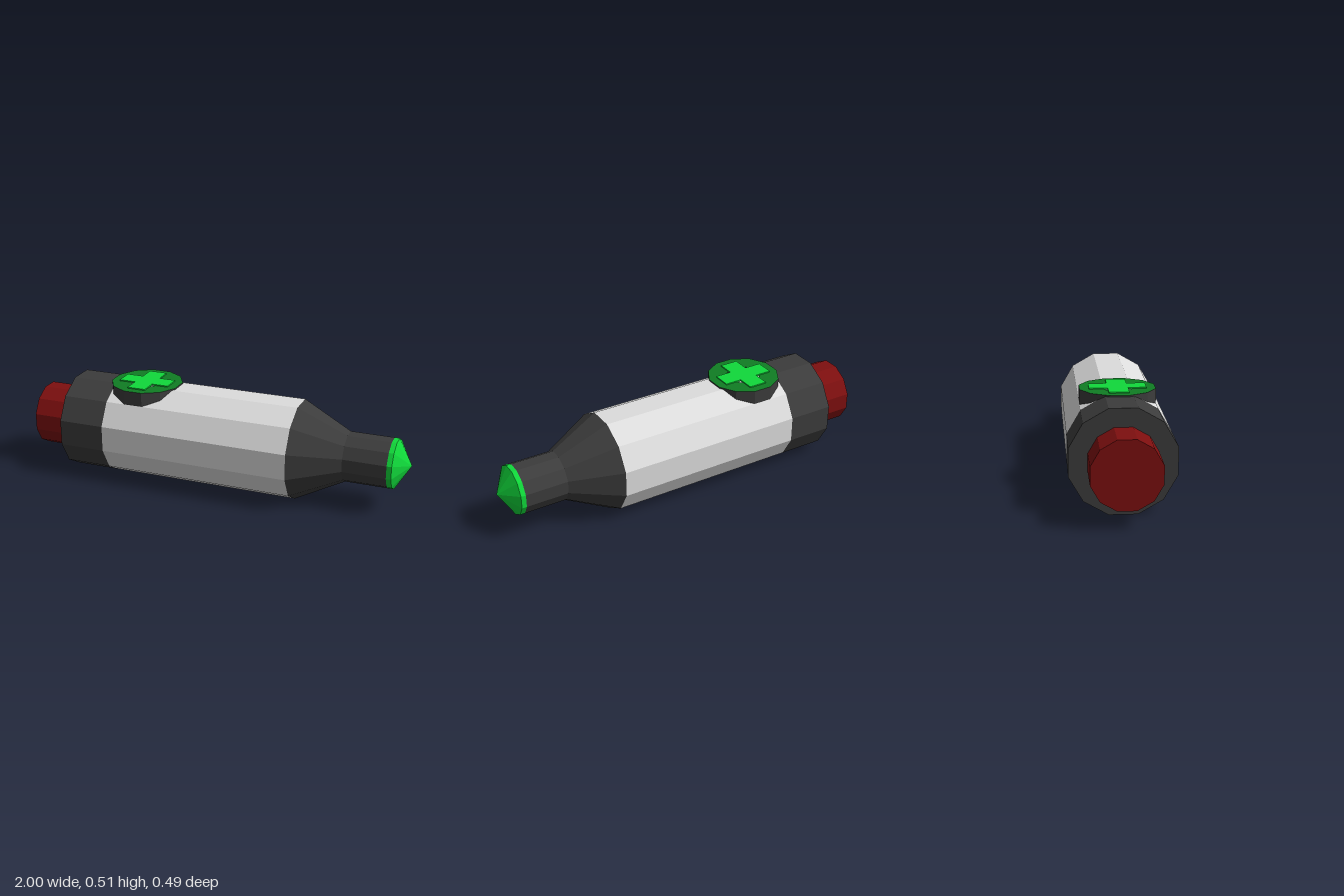
import * as THREE from 'three';

const SIDES = 12;
const AXIS_Y = 0.247;
const TO_CORNER = 1 / Math.cos(Math.PI / SIDES); // flat-to-flat radius -> corner radius

function material(name, color) {
  const m = new THREE.MeshStandardMaterial({ color, flatShading: true });
  m.name = name;
  return m;
}

export function createModel() {
  const black = material('charcoal', 0x3c3c3c);
  const white = material('light grey', 0xdddddd);
  const red = material('dark red', 0x7d0f0f);
  const green = material('bright green', 0x10d83a);
  const darkGreen = material('dark green', 0x107d24);

  const model = new THREE.Group();
  model.name = 'injector';

  function add(name, geometry, mat) {
    const mesh = new THREE.Mesh(geometry, mat);
    mesh.name = name;
    model.add(mesh);
    return mesh;
  }

  // Twelve-sided section along x, with a flat on top; radii are flat-to-centre
  function section(name, x0, x1, r0, r1, mat, open = true) {
    const g = new THREE.CylinderGeometry(
      r1 * TO_CORNER, r0 * TO_CORNER, x1 - x0, SIDES, 1, open, Math.PI / SIDES);
    g.rotateZ(-Math.PI / 2);
    g.translate((x0 + x1) / 2, AXIS_Y, 0);
    add(name, g, mat);
  }

  section('plunger', -1, -0.79, 0.16, 0.16, red, false);
  section('rearCollar', -0.8, -0.56, 0.247, 0.247, black, false);
  section('barrel', -0.56, 0.43, 0.247, 0.247, white);
  section('taper', 0.43, 0.68, 0.247, 0.123, black);
  section('nozzle', 0.68, 0.9, 0.123, 0.123, black);
  section('tipBand', 0.9, 0.925, 0.123, 0.123, green);
  section('tipCone', 0.925, 1, 0.123, 0, green);

  // Regular polygon outline with flats facing the axes
  function polygon(apothem) {
    return Array.from({ length: SIDES }, (_, i) => {
      const a = (i + 0.5) * 2 * Math.PI / SIDES;
      return new THREE.Vector2(Math.cos(a), Math.sin(a)).multiplyScalar(apothem * TO_CORNER);
    });
  }

  // Extrude a flat shape upward from y0 to y1 at the badge position
  function raised(shape, y0, y1) {
    const g = new THREE.ExtrudeGeometry(shape, { depth: y1 - y0, bevelEnabled: false });
    g.rotateX(-Math.PI / 2);
    g.translate(-0.41, y0, 0);
    return g;
  }

  // Badge ring: green face, charcoal skirt sunk into the barrel
  const ring = new THREE.Shape(polygon(0.18));
  ring.holes.push(new THREE.Path(polygon(0.083)));
  add('badgeRing', raised(ring, 0.415, 0.501), [darkGreen, black]);

  // Cross plate on the ring
  const L = 0.136, w = 0.048;
  const cross = new THREE.Shape([
    [w, w], [w, L], [-w, L], [-w, w], [-L, w], [-L, -w],
    [-w, -w], [-w, -L], [w, -L], [w, -w], [L, -w], [L, w],
  ].map(([x, y]) => new THREE.Vector2(x, y)));
  add('badgeCross', raised(cross, 0.499, 0.507), green);

  return model;
}
